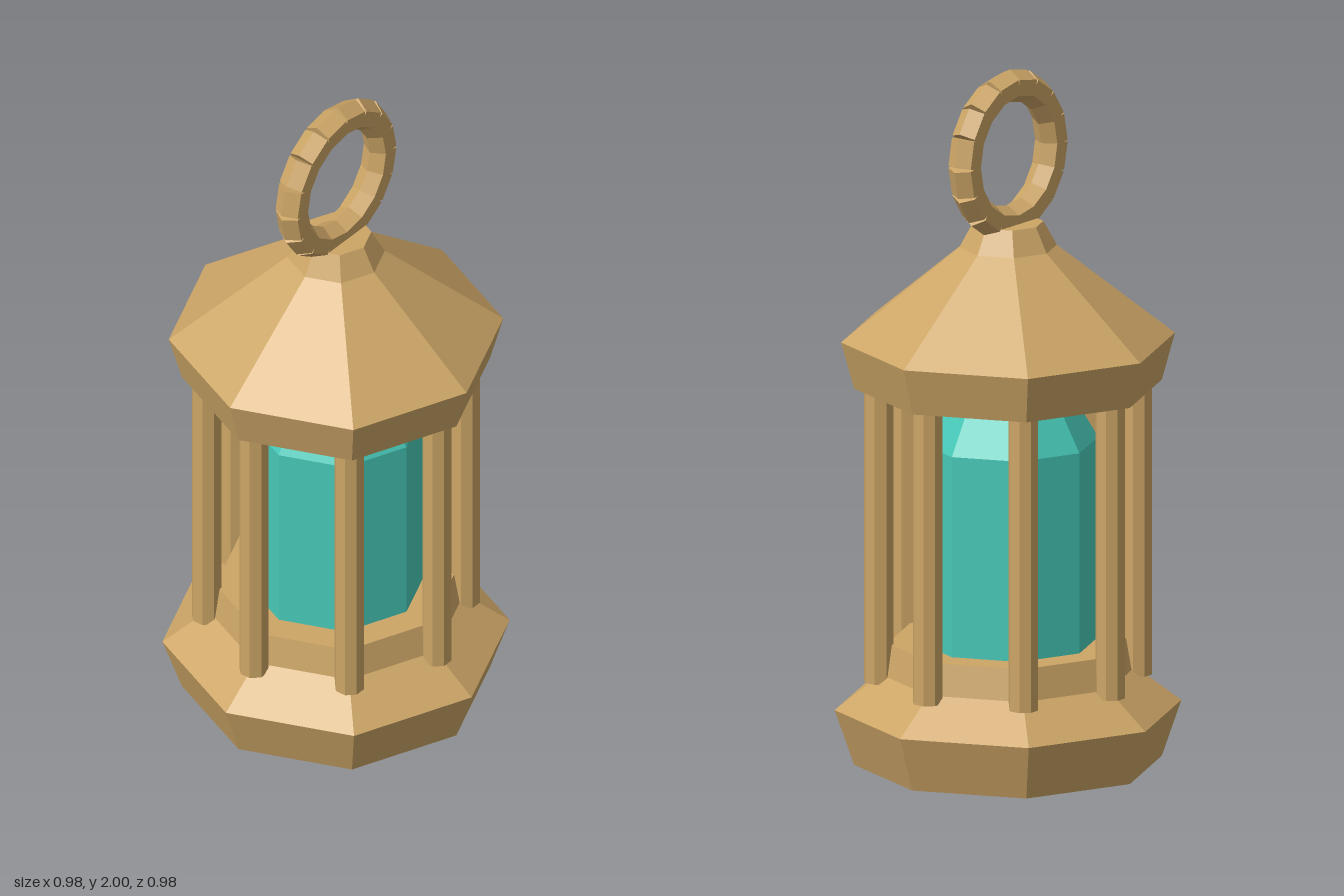
import * as THREE from 'three';

const brass = new THREE.MeshStandardMaterial({ color: 0xcca566, flatShading: true });
const teal = new THREE.MeshStandardMaterial({ color: 0x47c9b8, flatShading: true });

// Eight-sided solid from a [radius, height] profile, corners on the x and z axes
function octagon(name, profile, material) {
  const points = profile.map(([r, y]) => new THREE.Vector2(r, y));
  const mesh = new THREE.Mesh(new THREE.LatheGeometry(points, 8), material);
  mesh.name = name;
  return mesh;
}

export function createModel() {
  const model = new THREE.Group();
  model.name = 'lantern';

  // Flared foot with a raised plinth
  model.add(octagon('base', [[0, 0], [0.435, 0], [0.49, 0.16], [0.36, 0.26], [0.34, 0.35], [0, 0.35]], brass));

  // Glass chamber with tapered shoulder
  model.add(octagon('glass', [[0, 0.34], [0.255, 0.34], [0.255, 0.93], [0.155, 1.1], [0, 1.1]], teal));

  // Roof with rim and small flat cap
  model.add(octagon('roof', [[0, 1.09], [0.435, 1.09], [0.472, 1.225], [0.138, 1.49], [0.1, 1.56], [0, 1.56]], brass));

  // Posts around the chamber, one at every corner
  const posts = new THREE.Group();
  posts.name = 'posts';
  const postGeometry = new THREE.CylinderGeometry(0.043, 0.043, 0.86, 8, 1, false, Math.PI / 8);
  for (let i = 0; i < 8; i++) {
    const a = (i * Math.PI) / 4;
    const post = new THREE.Mesh(postGeometry, brass);
    post.name = 'post';
    post.position.set(Math.sin(a) * 0.365, 0.67, Math.cos(a) * 0.365);
    post.rotation.y = a;
    posts.add(post);
  }
  model.add(posts);

  // Carrying ring of straight hexagonal links, leaving V gaps on the outside
  const ring = new THREE.Group();
  ring.name = 'carryingRing';
  ring.position.y = 1.758;
  const linkGeometry = new THREE.CylinderGeometry(0.046, 0.046, 0.08, 6, 1, false, Math.PI / 2);
  for (let i = 0; i < 16; i++) {
    const a = ((i + 0.5) * Math.PI) / 8;
    const link = new THREE.Mesh(linkGeometry, brass);
    link.name = 'ringLink';
    link.position.set(Math.cos(a) * 0.193, Math.sin(a) * 0.193, 0);
    link.rotation.z = a;
    ring.add(link);
  }
  model.add(ring);

  return model;
}
